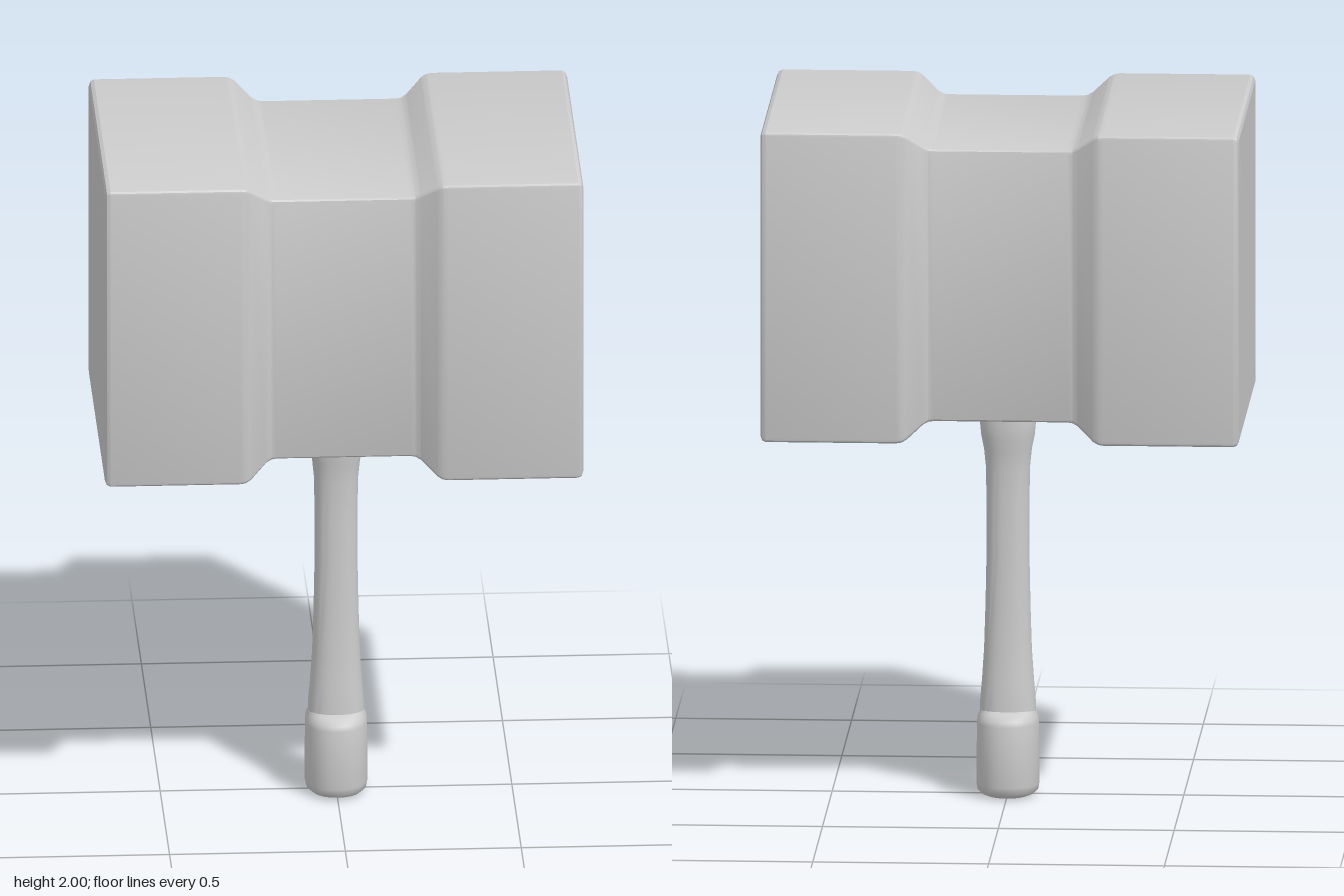
import * as THREE from 'three';
import { toCreasedNormals } from 'three/addons/utils/BufferGeometryUtils.js';

// Skins a stack of rings (each a list of [x, z] at height y) and closes both ends.
function loft(rings, crease) {
  const n = rings[0].points.length, pos = [], idx = [];
  for (const { y, points } of rings) for (const [x, z] of points) pos.push(x, y, z);
  for (let i = 0; i < rings.length - 1; i++) {
    for (let j = 0; j < n; j++) {
      const a = i * n + j, b = i * n + (j + 1) % n;
      idx.push(a, a + n, b, b, a + n, b + n);
    }
  }
  const last = (rings.length - 1) * n, bottom = rings.length * n;
  pos.push(0, rings[0].y, 0, 0, rings[rings.length - 1].y, 0);
  for (let j = 0; j < n; j++) {
    const k = (j + 1) % n;
    idx.push(bottom, j, k, bottom + 1, last + k, last + j);
  }
  const geo = new THREE.BufferGeometry();
  geo.setAttribute('position', new THREE.Float32BufferAttribute(pos, 3));
  geo.setIndex(idx);
  return toCreasedNormals(geo, crease);
}

// Square outline with small rounded corners.
function roundedSquare(half, r) {
  const pts = [], c = half - r;
  for (let q = 0; q < 4; q++) {
    const mid = (q + 0.5) * Math.PI / 2;
    const cx = Math.sign(Math.cos(mid)) * c, cz = Math.sign(Math.sin(mid)) * c;
    for (let s = 0; s <= 3; s++) {
      const t = (q + s / 3) * Math.PI / 2;
      pts.push([cx + r * Math.cos(t), cz + r * Math.sin(t)]);
    }
  }
  return pts;
}

// Slightly squared oval outline.
function oval(a, b, n = 40) {
  const p = (v) => Math.sign(v) * Math.abs(v) ** 0.88;
  return Array.from({ length: n }, (_, j) => {
    const t = j / n * Math.PI * 2;
    return [a * p(Math.cos(t)), b * p(Math.sin(t))];
  });
}

const ovalStack = (rows) => rows.map(([y, a, b]) => ({ y, points: oval(a, b) }));

export function createModel() {
  const group = new THREE.Group();
  const material = new THREE.MeshStandardMaterial({ color: 0xcccccc });
  const add = (name, geo) => {
    const mesh = new THREE.Mesh(geo, material);
    mesh.name = name;
    group.add(mesh);
    return mesh;
  };

  // Head: two square faces joined by a narrower waist, mirrored about the middle
  const half = [
    [0.19, 0.395], [0.205, 0.397], [0.22, 0.404], [0.265, 0.441], [0.28, 0.448],
    [0.295, 0.45], [0.665, 0.45], [0.675, 0.446], [0.68, 0.436],
  ];
  const profile = [...half.map(([x, h]) => [-x, h]).reverse(), ...half];
  const head = add('hammerHead', loft(
    profile.map(([y, h]) => ({ y, points: roundedSquare(h, 0.012) })), 0.35));
  head.rotation.z = -Math.PI / 2;
  head.position.y = 1.55;

  // Handle: oval grip flaring at both ends
  add('handle', loft(ovalStack([
    [0.2, 0.08, 0.073], [0.26, 0.08, 0.072], [0.33, 0.074, 0.067], [0.42, 0.068, 0.061],
    [0.55, 0.064, 0.057], [0.7, 0.061, 0.055], [0.85, 0.061, 0.055], [0.95, 0.063, 0.057],
    [1.0, 0.068, 0.062], [1.04, 0.076, 0.069], [1.07, 0.079, 0.071], [1.13, 0.079, 0.071],
    [1.145, 0.076, 0.069], [1.16, 0.068, 0.061],
  ]), 0.7));

  // Pommel: wider oval cap with softened rims
  add('pommel', loft(ovalStack([
    [0, 0.06, 0.078], [0.006, 0.075, 0.095], [0.016, 0.086, 0.106], [0.035, 0.09, 0.11],
    [0.21, 0.088, 0.11], [0.225, 0.086, 0.106], [0.237, 0.081, 0.09], [0.25, 0.078, 0.07],
  ]), 0.7));

  return group;
}
